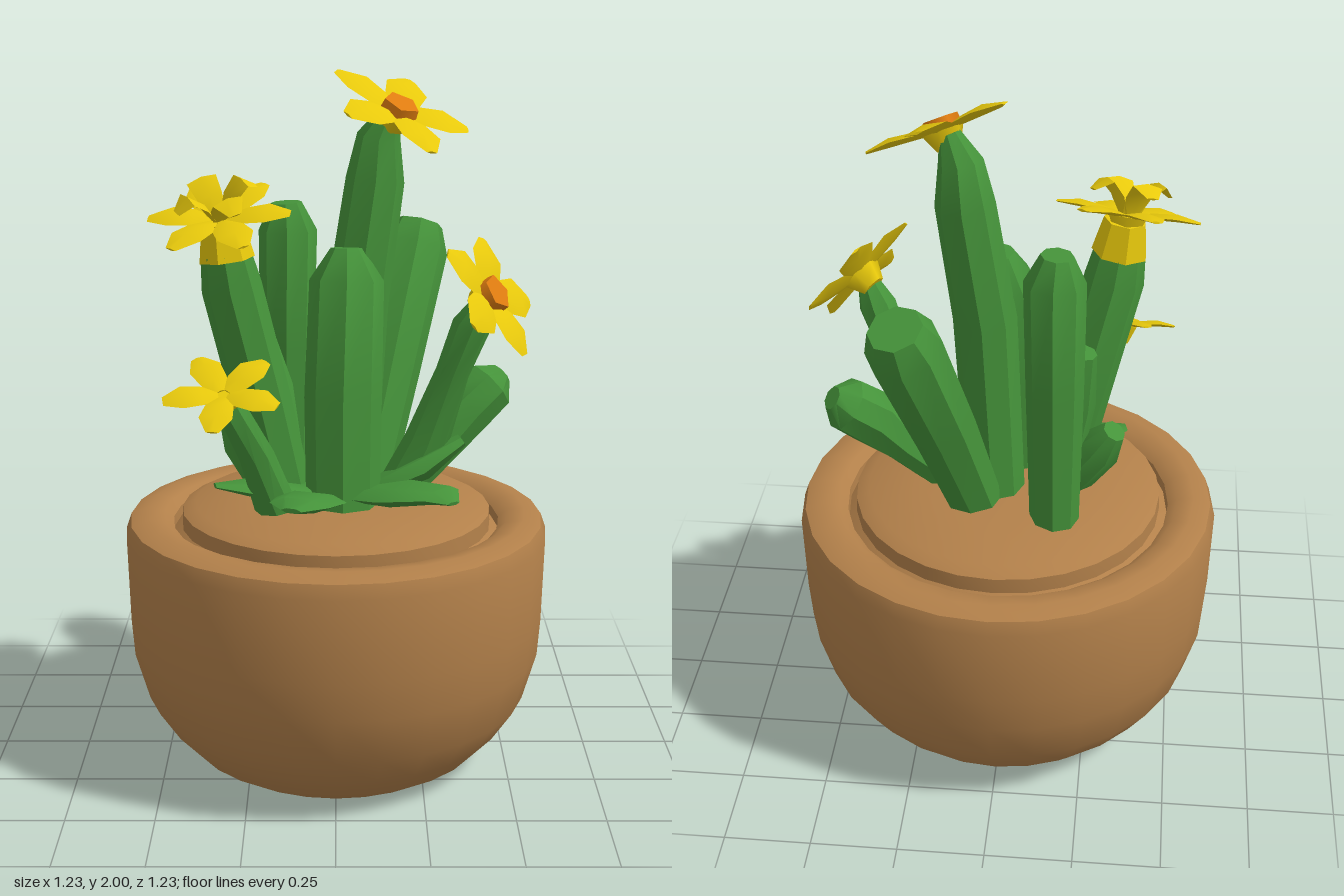
import * as THREE from 'three';
import { toCreasedNormals } from 'three/addons/utils/BufferGeometryUtils.js';

const material = (name, color) => {
  const m = new THREE.MeshStandardMaterial({ color });
  m.name = name;
  return m;
};

// Closed tube through points with a radius for each; flat squashes its thickness
function loft(points, radii, sides = 8, flat = 1) {
  const p = points.map((a) => new THREE.Vector3(...a));
  const n = p.length;
  const whole = p[n - 1].clone().sub(p[0]).normalize();
  const ref = Math.abs(whole.y) > 0.9 ? new THREE.Vector3(0, 0, 1) : new THREE.Vector3(0, 1, 0);
  const pos = [], index = [];
  for (let i = 0; i < n; i++) {
    const t = p[Math.min(i + 1, n - 1)].clone().sub(p[Math.max(i - 1, 0)]).normalize();
    const u = t.clone().cross(ref).normalize();
    const v = t.clone().cross(u);
    for (let j = 0; j < sides; j++) {
      const a = (j / sides) * Math.PI * 2;
      const q = p[i].clone().addScaledVector(u, Math.cos(a) * radii[i]);
      q.addScaledVector(v, Math.sin(a) * radii[i] * flat);
      pos.push(q.x, q.y, q.z);
    }
  }
  pos.push(...p[0].toArray(), ...p[n - 1].toArray());
  const start = n * sides, end = start + 1;
  for (let j = 0; j < sides; j++) {
    const k = (j + 1) % sides;
    for (let i = 0; i < n - 1; i++) {
      const a = i * sides, b = a + sides;
      index.push(a + j, a + k, b + k, a + j, b + k, b + j);
    }
    index.push(start, k, j, end, (n - 1) * sides + j, (n - 1) * sides + k);
  }
  const g = new THREE.BufferGeometry();
  g.setAttribute('position', new THREE.Float32BufferAttribute(pos, 3));
  g.setIndex(index);
  return toCreasedNormals(g, 0.6);
}

export function createModel() {
  const model = new THREE.Group();
  model.name = 'pottedFlowers';
  const clay = material('clay', 0xb2804a);
  const green = material('stemGreen', 0x45933a);
  const yellow = material('petalYellow', 0xeacb0c);
  const orange = material('flowerOrange', 0xdf7c10);

  const add = (name, geometry, mat, parent = model) => {
    const mesh = new THREE.Mesh(geometry, mat);
    mesh.name = name;
    parent.add(mesh);
    return mesh;
  };
  const lathe = (profile) => toCreasedNormals(
    new THREE.LatheGeometry(profile.map(([r, y]) => new THREE.Vector2(r, y)), 28), 0.6);

  // Round-bellied pot with a rolled rim, and the soil inside
  add('pot', lathe([[0, 0], [0.37, 0], [0.435, 0.04], [0.5, 0.11], [0.56, 0.2], [0.6, 0.34],
    [0.608, 0.45], [0.614, 0.69], [0.6, 0.73], [0.55, 0.748], [0.5, 0.74], [0.475, 0.72], [0.47, 0.66]]), clay);
  add('soil', lathe([[0.475, 0.69], [0.45, 0.71], [0.448, 0.755], [0.41, 0.775], [0.25, 0.797], [0, 0.805]]), clay);

  // Thick stems: path points, then radii
  const stems = {
    tallStem: [[[0.03, 0.76, -0.05], [0.06, 1.35, -0.04], [0.11, 1.7, -0.05], [0.12, 1.82, -0.05], [0.15, 1.89, -0.03]],
      [0.085, 0.09, 0.083, 0.062, 0.03]],
    centreStem: [[[0.02, 0.76, 0.11], [0.02, 1.1, 0.08], [0.03, 1.43, 0.04], [0.03, 1.52, 0.03]], [0.105, 0.11, 0.105, 0.045]],
    backStem: [[[0.08, 0.76, -0.1], [0.16, 1.12, -0.24], [0.235, 1.45, -0.39], [0.25, 1.52, -0.42]], [0.08, 0.095, 0.105, 0.075]],
    rearStem: [[[-0.15, 0.76, -0.19], [-0.145, 1.2, -0.18], [-0.14, 1.54, -0.17], [-0.145, 1.62, -0.17]], [0.07, 0.08, 0.085, 0.045]],
    leftStem: [[[-0.14, 0.76, 0.03], [-0.21, 1.08, 0.06], [-0.29, 1.42, 0.09], [-0.305, 1.52, 0.1]], [0.08, 0.085, 0.085, 0.07]],
    smallStem: [[[-0.17, 0.8, 0.16], [-0.22, 0.97, 0.22], [-0.28, 1.1, 0.26], [-0.3, 1.15, 0.28]], [0.06, 0.05, 0.045, 0.03]],
    rightStem: [[[0.17, 0.78, 0.03], [0.26, 0.96, 0.04], [0.33, 1.17, 0.06], [0.38, 1.31, 0.08], [0.41, 1.38, 0.1]],
      [0.07, 0.065, 0.048, 0.055, 0.03]],
    sideShoot: [[[0.16, 0.79, 0], [0.3, 0.92, -0.04], [0.38, 1.03, -0.08], [0.45, 1.09, -0.11], [0.485, 1.12, -0.13]],
      [0.065, 0.06, 0.085, 0.08, 0.035]],
    leftStub: [[[-0.17, 0.78, 0], [-0.27, 0.94, -0.04], [-0.31, 1.01, -0.06]], [0.06, 0.065, 0.035]],
    innerShoot: [[[-0.14, 0.78, -0.02], [-0.19, 1.1, -0.05], [-0.22, 1.27, -0.07]], [0.06, 0.065, 0.035]],
  };
  for (const [name, [points, radii]] of Object.entries(stems)) add(name, loft(points, radii), green);

  // Broad low leaves: path points, widths, thickness ratio
  const leaves = [
    [[[0.05, 0.82, 0.1], [0.18, 0.86, 0.22], [0.29, 0.88, 0.3], [0.32, 0.87, 0.345]], [0.06, 0.11, 0.075, 0.02], 0.28],
    [[[-0.02, 0.81, 0.12], [-0.07, 0.85, 0.25], [-0.1, 0.87, 0.36], [-0.12, 0.87, 0.41]], [0.06, 0.1, 0.085, 0.03], 0.25],
    [[[-0.06, 0.82, 0.1], [-0.2, 0.85, 0.14], [-0.34, 0.87, 0.18]], [0.07, 0.09, 0.02], 0.3],
    [[[0.1, 0.82, 0.06], [0.25, 0.9, 0.08], [0.36, 0.97, 0.06]], [0.06, 0.08, 0.035], 0.45],
  ];
  leaves.forEach(([points, widths, flat], i) => add('leaf' + (i + 1), loft(points, widths, 6, flat), green));

  // Flowers: petals spread around a tilted axis
  const petal = (length, lift, width) => loft([[0.015, 0, 0], [length * 0.35, lift * 0.6, 0],
    [length * 0.68, lift, 0], [length, lift * 0.7, 0]], [0.025, width * 0.85, width, 0.018], 4, 0.2);
  const flower = (name, centre, axis, length, width, count, spin, core) => {
    const g = new THREE.Group();
    g.name = name;
    g.position.set(...centre);
    g.quaternion.setFromUnitVectors(new THREE.Vector3(0, 1, 0), new THREE.Vector3(...axis).normalize());
    const geometry = petal(length, 0.015, width);
    for (let i = 0; i < count; i++) {
      add('petal', geometry, yellow, g).rotation.y = -(spin + (i / count) * Math.PI * 2);
    }
    add('calyx', new THREE.CylinderGeometry(0.06, 0.035, 0.05, 6), yellow, g).position.y = -0.025;
    if (core) add('flowerCentre', new THREE.CylinderGeometry(0.052, 0.056, 0.03, 5), orange, g).position.y = 0.018;
    model.add(g);
    return g;
  };
  flower('topFlower', [0.17, 1.89, -0.01], [0.42, 1, 0.4], 0.21, 0.062, 5, -0.2, true);
  flower('rightFlower', [0.425, 1.395, 0.1], [0.75, 0.55, 0.45], 0.19, 0.062, 5, 0.5, true);
  flower('smallFlower', [-0.305, 1.16, 0.285], [-0.05, 0.9, 0.45], 0.165, 0.046, 5, 0.45, false);

  // Left flower has a second, raised ring of petals and a deep yellow calyx
  const left = flower('leftFlower', [-0.32, 1.61, 0.1], [-0.12, 1, 0.38], 0.2, 0.052, 6, 0.15, false);
  const inner = petal(0.12, 0.09, 0.045);
  for (let i = 0; i < 4; i++) add('innerPetal', inner, yellow, left).rotation.y = 0.5 + i * Math.PI / 2;
  add('leftCalyx', loft([[-0.303, 1.5, 0.098], [-0.315, 1.6, 0.1]], [0.08, 0.06], 7), yellow);

  return model;
}
